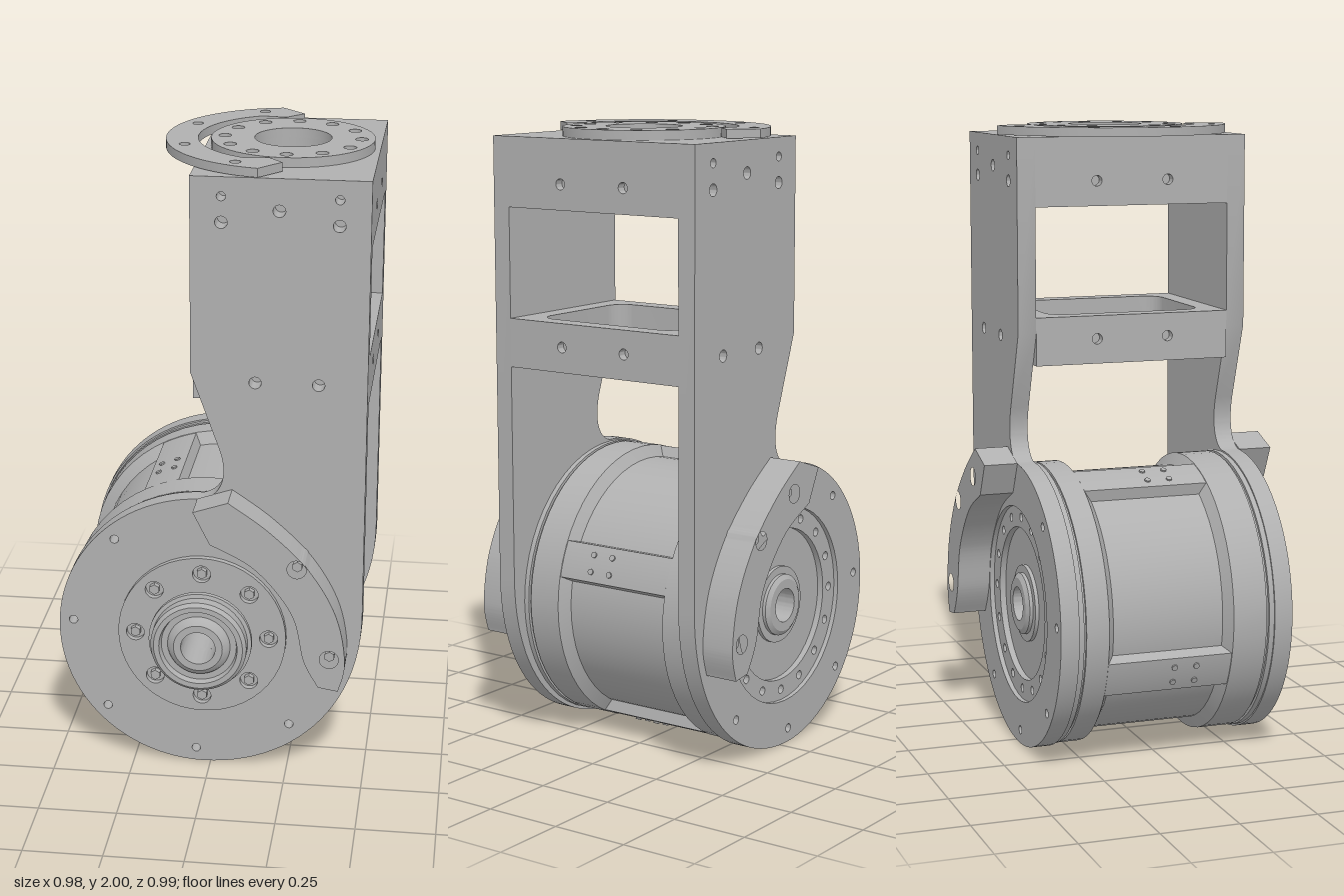
import * as THREE from 'three';
import { toCreasedNormals } from 'three/addons/utils/BufferGeometryUtils.js';

const CX = -0.025, CY = 0.465;   // drum axis
const TX = 0.213;                // top flange axis
const BORE = 0.055;
const rad = THREE.MathUtils.degToRad;

export function createModel() {
  const model = new THREE.Group();
  const metal = new THREE.MeshStandardMaterial({ color: 0xb0b0b0 });
  metal.name = 'grey metal';

  const add = (name, geo, x = 0, y = 0, z = 0) => {
    const mesh = new THREE.Mesh(toCreasedNormals(geo.index ? geo.toNonIndexed() : geo, 0.5), metal);
    mesh.name = name;
    mesh.position.set(x, y, z);
    model.add(mesh);
    return mesh;
  };
  const extrude = (shape, depth, curveSegments = 24) =>
    new THREE.ExtrudeGeometry(shape, { depth, bevelEnabled: false, curveSegments });
  const drill = (shape, holes) => {
    for (const [x, y, r] of holes) shape.holes.push(new THREE.Path().absarc(x, y, r, 0, Math.PI * 2, true));
    return shape;
  };
  const disc = (r, holes) => drill(new THREE.Shape().absarc(0, 0, r, 0, Math.PI * 2), holes);
  const circleOf = (n, r, hole, start = 0) => Array.from({ length: n }, (_, i) => {
    const a = start + i * 2 * Math.PI / n;
    return [r * Math.cos(a), r * Math.sin(a), hole];
  });
  // Closed ring from (radius, height) points; axis along z, or y if upright
  const ring = (points, upright = false) => {
    const g = new THREE.LatheGeometry([...points, points[0]].map(p => new THREE.Vector2(...p)), 56);
    return upright ? g : g.rotateX(Math.PI / 2);
  };
  const tube = (r0, r1, z0, z1) => [[r0, z0], [r1, z0], [r1, z1], [r0, z1]];
  const hexBolt = (name, x, y, z, length) =>
    add(name, new THREE.CylinderGeometry(0.017, 0.017, length, 6).rotateX(Math.PI / 2), x, y, z);

  // Side plates: a round drum cover running up into the bracket arm
  const sidePlate = (bore) => {
    const s = new THREE.Shape();
    s.moveTo(-0.06, 1.97);
    s.lineTo(-0.06, 1.35);
    s.lineTo(0.03, 1.1);
    s.bezierCurveTo(0.06, 1.01, 0.035, 0.945, CX, CY + 0.465);
    s.absarc(CX, CY, 0.465, Math.PI / 2, Math.PI * 1.5);
    s.bezierCurveTo(0.26, 0, 0.485, 0.22, 0.485, 0.55);
    s.lineTo(0.485, 1.97);
    const rim = circleOf(8, 0.42, 0.014, rad(-3))
      .map(([x, y, r]) => [x + CX, y + CY, r]);
    return drill(s, [
      [CX, CY, bore], ...rim,
      [0.035, 1.91, 0.014], [0.39, 1.91, 0.014],
      [0.035, 1.83, 0.019], [0.21, 1.87, 0.019], [0.39, 1.83, 0.019],
      [0.14, 1.325, 0.019], [0.335, 1.325, 0.019],
    ]);
  };
  add('frontSidePlate', extrude(sidePlate(BORE), 0.06), 0, 0, 0.325);
  add('backSidePlate', extrude(sidePlate(0.32), 0.06), 0, 0, -0.385);

  // Curved stop blocks on both side plates
  const v = (x, y) => new THREE.Vector2(x, y);
  const stop = new THREE.Shape();
  stop.moveTo(-0.04, 0.931);
  stop.lineTo(0.07, 0.968);
  stop.splineThru([v(0.2, 0.875), v(0.325, 0.75), v(0.41, 0.6), v(0.44, 0.44), v(0.42, 0.34)]);
  stop.lineTo(0.357, 0.35);
  stop.splineThru([v(0.31, 0.44), v(0.27, 0.6), v(0.155, 0.746), v(0.013, 0.825)]);
  const stopHoles = [[0.285, 0.755, 0.03], [0.39, 0.45, 0.03], [0.1, 0.87, 0.03]];
  for (const side of [1, -1]) {
    const holes = side > 0 ? stopHoles.slice(0, 2) : stopHoles;
    add('stopBlock', extrude(drill(stop.clone(), holes), 0.11), 0, 0, side > 0 ? 0.385 : -0.495);
    for (const [x, y] of holes) hexBolt('stopBolt', x, y, side * 0.43, 0.09);
  }

  // Drum: core, grooved end rims and four bridges between the recesses
  add('drumCore', ring(tube(BORE, 0.42, -0.325, 0.325)), CX, CY, 0);
  add('frontRim', ring([[0.4, 0.165], [0.42, 0.165], [0.458, 0.188], [0.458, 0.3], [0.45, 0.3],
    [0.45, 0.308], [0.46, 0.308], [0.46, 0.326], [0.4, 0.326]]), CX, CY, 0);
  add('backRim', ring([[0.4, -0.326], [0.46, -0.326], [0.46, -0.308], [0.45, -0.308], [0.45, -0.3],
    [0.458, -0.3], [0.458, -0.226], [0.42, -0.2], [0.4, -0.2]]), CX, CY, 0);
  for (let i = 0; i < 4; i++) {
    const mid = rad(20.5 + 90 * i), half = rad(7.5);
    const s = new THREE.Shape();
    s.absarc(0, 0, 0.456, mid - half, mid + half);
    s.absarc(0, 0, 0.4, mid + half * 1.3, mid - half * 1.3, true);
    add('drumBridge', extrude(s, 0.42, 6), CX, CY, -0.225);
    for (const da of [-0.06, 0.06]) for (const z of [-0.003, 0.07]) {
      const a = mid + da;
      const pin = add('bridgePin', new THREE.CylinderGeometry(0.01, 0.01, 0.02, 8),
        CX + 0.451 * Math.cos(a), CY + 0.451 * Math.sin(a), z);
      pin.rotation.z = a - Math.PI / 2;
    }
  }

  // Front hub: bolted flange and stepped nut
  const flangeBolts = circleOf(8, 0.215, 0.029);
  add('hubFlange', extrude(disc(0.27, [[0, 0, BORE], ...flangeBolts]), 0.02), CX, CY, 0.385);
  for (const [x, y] of flangeBolts) hexBolt('hubBolt', CX + x, CY + y, 0.393, 0.022);
  add('hubNut', ring([[BORE, 0.404], [0.14, 0.404], [0.14, 0.43], [0.165, 0.43], [0.165, 0.447],
    [0.153, 0.45], [0.153, 0.485], [0.142, 0.496], [0.125, 0.496], [0.12, 0.475], [0.1, 0.475],
    [0.095, 0.485], [0.078, 0.497], [BORE, 0.497]]), CX, CY, 0);

  // Back rotor, set into the plate
  add('rotorRing', extrude(disc(0.32, [[0, 0, 0.25], ...circleOf(16, 0.285, 0.014)]), 0.045), CX, CY, -0.37);
  add('rotorFace', ring(tube(BORE, 0.252, -0.35, -0.32)), CX, CY, 0);
  add('rotorHub', ring([[BORE, -0.383], [0.085, -0.383], [0.1, -0.373], [0.1, -0.362],
    [0.125, -0.362], [0.125, -0.345], [BORE, -0.345]]), CX, CY, 0);

  // Cross frames joining the arms, with a rounded window and drilled end walls
  const rect = (x0, x1, y) => new THREE.Shape([v(x0, -y), v(x1, -y), v(x1, y), v(x0, y)]);
  const windowPath = () => {
    const x0 = 0.005, x1 = 0.42, y = 0.26, r = 0.06, p = new THREE.Path();
    p.absarc(x0 + r, y - r, r, Math.PI, Math.PI / 2, true);
    p.absarc(x1 - r, y - r, r, Math.PI / 2, 0, true);
    p.absarc(x1 - r, r - y, r, 0, -Math.PI / 2, true);
    p.absarc(x0 + r, r - y, r, -Math.PI / 2, -Math.PI, true);
    return p;
  };
  const crossFrame = (name, y0, y1, holeY) => {
    const s = rect(-0.03, 0.455, 0.325);
    s.holes.push(windowPath());
    add(name, extrude(s, y1 - y0, 8).rotateX(-Math.PI / 2), 0, y0, 0);
    const wall = drill(new THREE.Shape([v(-0.325, y0), v(0.325, y0), v(0.325, y1), v(-0.325, y1)]),
      [[-0.12, holeY, 0.017], [0.12, holeY, 0.017]]);
    for (const x of [-0.06, 0.455]) add(name + 'Wall', extrude(wall, 0.03).rotateY(Math.PI / 2), x, 0, 0);
  };
  crossFrame('middleFrame', 1.245, 1.4, 1.325);
  crossFrame('topFrame', 1.75, 1.97, 1.83);
  add('topPlate', extrude(drill(rect(-0.03, 0.455, 0.325), [[TX, 0, 0.12]]), 0.04).rotateX(-Math.PI / 2), 0, 1.93, 0);
  add('topBoss', ring(tube(0.12, 0.2, 1.82, 1.935), true), TX, 0, 0);

  // Output flange on top
  add('topFlange', extrude(disc(0.255, [[0, 0, 0.12], ...circleOf(12, 0.213, 0.02)]), 0.03)
    .rotateX(-Math.PI / 2), TX, 1.97, 0);

  // Crescent stop around the top flange
  const crescent = new THREE.Shape();
  crescent.absarc(TX, 0, 0.395, rad(100), rad(260));
  crescent.lineTo(0.21, -0.31);
  crescent.lineTo(0.165, -0.258);
  crescent.absarc(TX, 0, 0.295, rad(245), rad(115), true);
  crescent.lineTo(0.165, 0.258);
  crescent.lineTo(0.22, 0.315);
  drill(crescent, [[0.09, 0.33, 0.017], [-0.105, 0.145, 0.017], [-0.11, -0.125, 0.017], [0.07, -0.32, 0.017]]);
  add('topCrescent', extrude(crescent, 0.028).rotateX(-Math.PI / 2), 0, 1.972, 0);

  return model;
}
